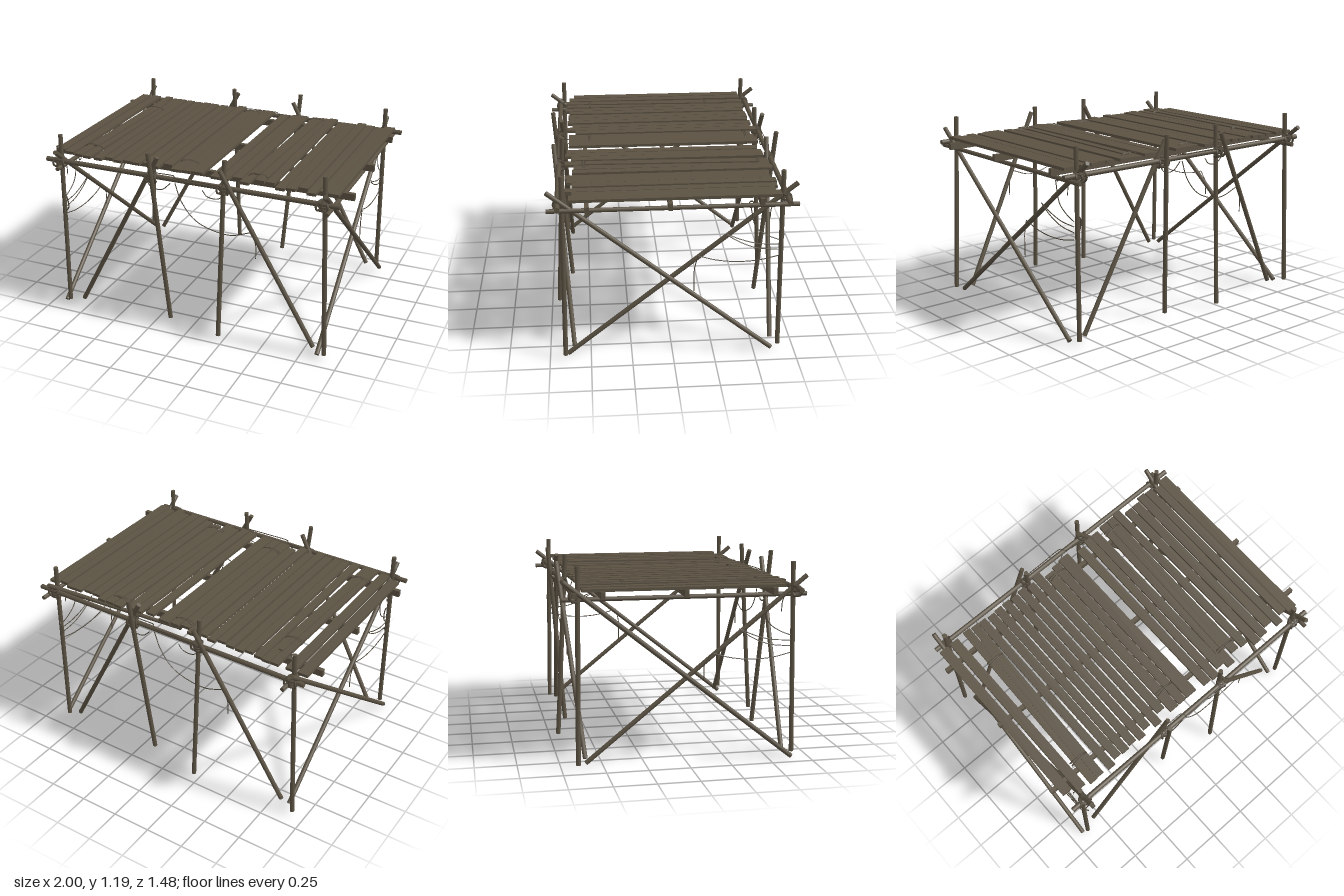
import * as THREE from 'three';

const wood = new THREE.MeshStandardMaterial({ color: 0x5b5243 });
wood.name = 'weatheredWood';
const cord = new THREE.MeshStandardMaterial({ color: 0x50483b });
cord.name = 'rope';

const V = (a) => new THREE.Vector3(...a);

function add(parent, name, geometry, material = wood) {
  const mesh = new THREE.Mesh(geometry, material);
  mesh.name = name;
  parent.add(mesh);
  return mesh;
}

// Round pole between two points
function pole(parent, name, a, b, r = 0.0145) {
  const p = V(a), q = V(b), d = q.clone().sub(p);
  const mesh = add(parent, name, new THREE.CylinderGeometry(r, r, d.length(), 10));
  mesh.position.copy(p).add(q).multiplyScalar(0.5);
  mesh.quaternion.setFromUnitVectors(new THREE.Vector3(0, 1, 0), d.normalize());
}

// Thin rope through a few points
function rope(parent, name, points, r = 0.003) {
  const curve = new THREE.CatmullRomCurve3(points.map(V));
  add(parent, name, new THREE.TubeGeometry(curve, 24, r, 5), cord);
}

// Rope rings wrapped around a joint
function lashing(parent, x, y, z) {
  const g = new THREE.Group();
  g.name = 'lashing';
  for (let i = 0; i < 3; i++) {
    const upright = add(g, 'wrapAroundPost', new THREE.TorusGeometry(0.026, 0.007, 5, 12), cord);
    upright.rotation.x = Math.PI / 2 + (i - 1) * 0.25;
    upright.position.y = (i - 1) * 0.026;
    const cross = add(g, 'wrapAroundRail', new THREE.TorusGeometry(0.03, 0.007, 5, 12), cord);
    cross.rotation.set(0, Math.PI / 2 + (i - 1) * 0.5, 0);
    cross.position.x = (i - 1) * 0.022;
  }
  g.position.set(x, y, z);
  parent.add(g);
}

// One long side: rail, posts, legs, struts and ropes
function longSide(leftX, rightX, tail) {
  const s = new THREE.Group();
  s.name = 'longSide';
  pole(s, 'sideRail', [-0.97, 1.033, 0.668], [0.963, 1.033, 0.668], 0.0155);
  pole(s, 'cornerPost', [leftX, 1.195, 0.64], [leftX, 0.035, 0.653]);
  pole(s, 'cornerPost', [rightX, 1.195, 0.64], [rightX + 0.04, 0.035, 0.655]);
  pole(s, 'middleLeg', [-0.235, 1.195, 0.705], [-0.155, 0.035, 0.615]);
  pole(s, 'middleLeg', [0.238, 1.195, 0.64], [0.217, 0.035, 0.7]);
  pole(s, 'diagonalStrut', [-0.2, 1.15, 0.65], [-0.795, 0.04, 0.615]);
  pole(s, 'diagonalStrut', [0.23, 1.15, 0.695], [0.81, 0.04, 0.6]);
  for (const x of [leftX, -0.235, 0.242, rightX]) lashing(s, x, 1.02, 0.662);

  // Slack ropes under the rail
  rope(s, 'slackRope', [[-0.075, 1.01, 0.67], [-0.03, 0.89, 0.67], [0.07, 0.78, 0.67], [0.27, 0.725, 0.66], [0.42, 0.77, 0.66]]);
  rope(s, 'ropeTail', [[0.41, 0.78, 0.66], [0.44, 0.73, 0.665], [0.45, 0.68, 0.66], [0.45, 0.6, 0.66]]);
  for (const x of [-0.18, 0.19])
    rope(s, 'smallLoop', [[x - 0.08, 1.0, 0.68], [x - 0.05, 0.965, 0.68], [x + 0.02, 0.96, 0.68], [x + 0.08, 1.01, 0.68]]);
  rope(s, 'railCord', [[-0.24, 1.045, 0.645], [-0.16, 1.05, 0.65], [-0.085, 1.05, 0.655], [-0.075, 1.05, 0.682], [0.08, 1.05, 0.685], [0.24, 1.045, 0.685]]);

  // Ropes draped from the corner post to the end braces
  const x = leftX - 0.01;
  rope(s, 'drapedRope', [[x, 0.755, 0.63], [x, 0.79, 0.55], [x, 0.84, 0.49], [x, 0.97, 0.455]]);
  rope(s, 'drapedRope', [[x, 0.725, 0.63], [x, 0.735, 0.5], [x, 0.765, 0.4], [x, 0.805, 0.31]]);
  rope(s, 'drapedRope', [[x, 0.69, 0.63], [x, 0.705, 0.5], [x, 0.745, 0.4], [x, 0.795, 0.32]]);
  rope(s, 'drapedRope', [[x, 0.65, 0.63], [x, 0.625, 0.52], [x, 0.618, 0.38], [x, 0.635, 0.25], [x, 0.665, 0.15]]);
  rope(s, 'ropeTail', [[x, 0.665, 0.15], [x, 0.6, tail.z + 0.005], [x, 0.57, tail.z], [x, tail.y, tail.z]]);
  rope(s, 'ropeTail', [[x, 1.0, 0.59], [x, 0.96, 0.575], [x, 0.9, 0.57]]);
  const hook = add(s, 'railLoop', new THREE.TorusGeometry(0.015, 0.003, 5, 14), cord);
  hook.scale.y = 1.4;
  hook.rotation.y = Math.PI / 2;
  hook.position.set(-0.86, 0.985, 0.458);
  rope(s, 'postCoil', [[-0.87, 0.8, 0.65], [-0.85, 0.78, 0.66], [-0.85, 0.7, 0.65], [-0.87, 0.68, 0.65], [-0.855, 0.62, 0.66]], 0.004);
  return s;
}

// Cross braces and rail of one short end
function shortEnd(shift) {
  const e = new THREE.Group();
  e.name = 'shortEnd';
  pole(e, 'endRail', [-0.86, 1.0, 0.733], [-0.86, 1.0, -0.733], 0.0135);
  pole(e, 'crossBrace', [-0.915, 0.015, 0.64], [-0.915, 1.11, -0.73]);
  pole(e, 'crossBrace', [-0.87, 0.03, -0.605], [-0.87, 1.11, 0.73]);
  e.position.x = shift;
  return e;
}

// Deck boards: centre x, width, back z, front z, yaw
const boards = [
  [-0.927, 0.064, -0.625, 0.572], [-0.847, 0.062, -0.625, 0.604], [-0.755, 0.052, -0.63, 0.625, 0.018],
  [-0.698, 0.052, -0.625, 0.62, 0.024], [-0.628, 0.053, -0.62, 0.63], [-0.561, 0.053, -0.61, 0.604],
  [-0.5, 0.053, -0.62, 0.61], [-0.436, 0.053, -0.62, 0.6], [-0.372, 0.053, -0.61, 0.615],
  [-0.307, 0.053, -0.625, 0.583], [-0.241, 0.053, -0.61, 0.615], [-0.174, 0.058, -0.64, 0.56],
  [-0.1, 0.066, -0.592, 0.604], [-0.033, 0.058, -0.61, 0.604], [0.04, 0.078, -0.62, 0.604],
  [0.163, 0.057, -0.592, 0.615], [0.233, 0.053, -0.615, 0.625, 0.01], [0.297, 0.06, -0.615, 0.588],
  [0.371, 0.058, -0.63, 0.625, 0.024], [0.441, 0.057, -0.63, 0.572, 0.01], [0.506, 0.053, -0.636, 0.583],
  [0.58, 0.058, -0.6, 0.625], [0.644, 0.058, -0.6, 0.615], [0.71, 0.058, -0.625, 0.583],
  [0.773, 0.053, -0.62, 0.625], [0.838, 0.053, -0.6, 0.583], [0.9, 0.068, -0.625, 0.604],
];

function deck() {
  const d = new THREE.Group();
  d.name = 'deck';
  boards.forEach(([x, w, z0, z1, yaw = 0], i) => {
    const b = add(d, 'deckBoard', new THREE.BoxGeometry(w, 0.018, z1 - z0));
    b.position.set(x, 1.063 + (i % 3) * 0.003, (z0 + z1) / 2);
    b.rotation.y = -yaw;
  });
  // Beams beneath the boards
  for (const [x0, x1, z, yaw] of [[-1, 0.95, -0.51, 0], [-0.975, 0.98, 0, -0.024], [-1, 1, 0.5, 0]]) {
    const b = add(d, 'deckBeam', new THREE.BoxGeometry(x1 - x0, 0.042, 0.026));
    b.position.set((x0 + x1) / 2, 1.036, z);
    b.rotation.y = yaw;
  }
  // Narrow loose slats tied on top
  for (const [x, z0, z1] of [[-0.725, -0.5, 0.46], [0.405, -0.56, 0.5]]) {
    const b = add(d, 'looseSlat', new THREE.BoxGeometry(0.034, 0.008, z1 - z0));
    b.position.set(x, 1.079, (z0 + z1) / 2);
    b.rotation.y = -0.03;
  }
  // Rope loops around pairs of boards
  for (const [x, z] of [[-0.725, -0.36], [-0.745, 0.46], [-0.065, -0.55], [-0.065, 0.47], [0.405, -0.56], [0.405, 0.51]]) {
    for (const k of [-1, 1]) {
      const t = add(d, 'boardTie', new THREE.TorusGeometry(0.058, 0.004, 5, 20), cord);
      t.scale.y = 0.28;
      t.position.set(x, 1.073, z + k * 0.006);
      t.rotation.y = k * 0.06;
    }
  }
  return d;
}

export function createModel() {
  const model = new THREE.Group();
  model.name = 'woodenPlatform';
  const front = longSide(-0.88, 0.86, { y: 0.5, z: 0.1 });
  const back = longSide(-0.86, 0.88, { y: 0.43, z: 0.128 });
  back.rotation.y = Math.PI;
  model.add(front, back, shortEnd(0), shortEnd(1.765), deck());
  return model;
}
